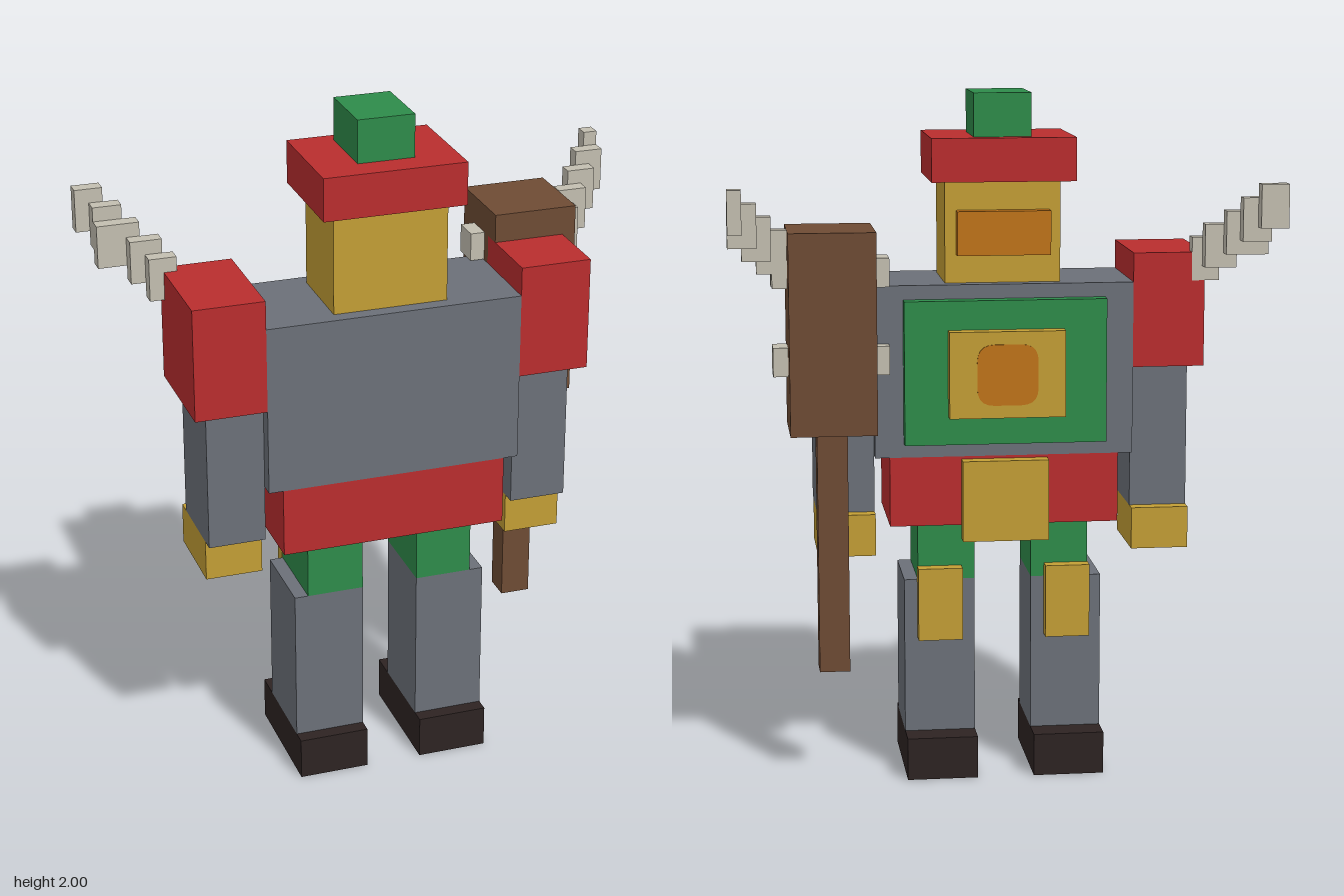
import * as THREE from 'three';

const mat = (name, color) => {
  const m = new THREE.MeshStandardMaterial({ color });
  m.name = name;
  return m;
};

export function createModel() {
  const red = mat('red', 0xb92d2e);
  const green = mat('green', 0x2e8b4a);
  const gold = mat('gold', 0xc39e35);
  const grey = mat('grey', 0x6b7078);
  const brown = mat('brown', 0x6e4b34);
  const dark = mat('dark boot', 0x2d2322);
  const bone = mat('bone', 0xc3beb0);
  const orange = mat('orange', 0xbf741a);

  const model = new THREE.Group();
  model.name = 'blockWarrior';

  // Box given by its extents: x0, x1, y0, y1, z0, z1
  const box = (name, material, x0, x1, y0, y1, z0, z1, parent = model) => {
    const mesh = new THREE.Mesh(new THREE.BoxGeometry(x1 - x0, y1 - y0, z1 - z0), material);
    mesh.position.set((x0 + x1) / 2, (y0 + y1) / 2, (z0 + z1) / 2);
    mesh.name = name;
    parent.add(mesh);
    return mesh;
  };
  // Box centred on x = 0
  const mid = (name, material, half, ...rest) => box(name, material, -half, half, ...rest);
  // Mirrored pair of boxes
  const pair = (name, material, x0, x1, ...rest) => {
    box(name + 'Left', material, x0, x1, ...rest);
    box(name + 'Right', material, -x1, -x0, ...rest);
  };

  // Hat and head
  mid('hatTop', green, 0.083, 1.875, 2, -0.042, 0.167);
  mid('hatBrim', red, 0.208, 1.75, 1.875, -0.083, 0.25);
  mid('head', gold, 0.167, 1.458, 1.75, -0.042, 0.208);
  mid('visor', orange, 0.135, 1.54, 1.667, -0.083, -0.042);

  // Torso with chest plates and belt
  mid('torso', grey, 0.375, 0.958, 1.458, -0.083, 0.25);
  mid('chestPlate', green, 0.292, 1.0, 1.417, -0.125, -0.083);
  mid('chestBadge', gold, 0.167, 1.083, 1.333, -0.167, -0.125);
  mid('belt', red, 0.333, 0.755, 0.958, -0.083, 0.25);
  mid('buckle', gold, 0.125, 0.713, 0.95, -0.125, -0.083);

  // Rounded emblem on the badge
  const h = 0.088, r = 0.05;
  const s = new THREE.Shape();
  s.moveTo(-h + r, -h);
  s.lineTo(h - r, -h);
  s.quadraticCurveTo(h, -h, h, -h + r);
  s.lineTo(h, h - r);
  s.quadraticCurveTo(h, h, h - r, h);
  s.lineTo(-h + r, h);
  s.quadraticCurveTo(-h, h, -h, h - r);
  s.lineTo(-h, -h + r);
  s.quadraticCurveTo(-h, -h, -h + r, -h);
  const emblem = new THREE.Mesh(
    new THREE.ExtrudeGeometry(s, { depth: 0.004, bevelEnabled: false, curveSegments: 5 }), orange);
  emblem.position.set(0, 1.208, -0.17);
  emblem.name = 'chestEmblem';
  model.add(emblem);

  // Arms
  pair('shoulder', red, 0.375, 0.583, 1.21, 1.542, -0.083, 0.25);
  pair('sleeve', grey, 0.375, 0.542, 0.792, 1.21, -0.042, 0.208);
  pair('hand', gold, 0.375, 0.542, 0.67, 0.792, -0.083, 0.167);

  // Legs
  pair('thigh', green, 0.083, 0.25, 0.585, 0.755, -0.042, 0.208);
  pair('leg', grey, 0.083, 0.29, 0.125, 0.585, -0.042, 0.208);
  pair('kneePad', gold, 0.122, 0.252, 0.41, 0.625, -0.083, -0.042);
  pair('boot', dark, 0.083, 0.29, 0, 0.125, -0.125, 0.25);

  // Hammer with bone studs
  const hammer = new THREE.Group();
  hammer.name = 'hammer';
  model.add(hammer);
  box('hammerHead', brown, 0.375, 0.622, 1.048, 1.625, -0.208, 0.042, hammer);
  box('hammerHandle', brown, 0.456, 0.544, 0.337, 1.048, -0.125, -0.042, hammer);
  for (const y of [1.208, 1.46]) {
    box('innerStud', bone, 0.333, 0.375, y, y + 0.083, -0.125, -0.042, hammer);
    box('outerStud', bone, 0.622, 0.665, y, y + 0.083, -0.125, -0.042, hammer);
  }

  // Stepped horns, one slice per step backwards: inner and outer x
  const horns = {
    hornLeft: [[0.622, 0.667], [0.622, 0.708], [0.667, 0.75], [0.708, 0.79], [0.75, 0.79]],
    hornRight: [[-0.625, -0.545], [-0.667, -0.575], [-0.75, -0.628], [-0.75, -0.667], [-0.79, -0.71]],
  };
  for (const [name, slices] of Object.entries(horns)) {
    const horn = new THREE.Group();
    horn.name = name;
    model.add(horn);
    slices.forEach(([x0, x1], i) => {
      const y = 1.46 + i * 0.0415, z = -0.042 - i * 0.0417;
      box('hornStep', bone, x0, x1, y, y + 0.125, z - 0.0417, z, horn);
    });
  }

  return model;
}
